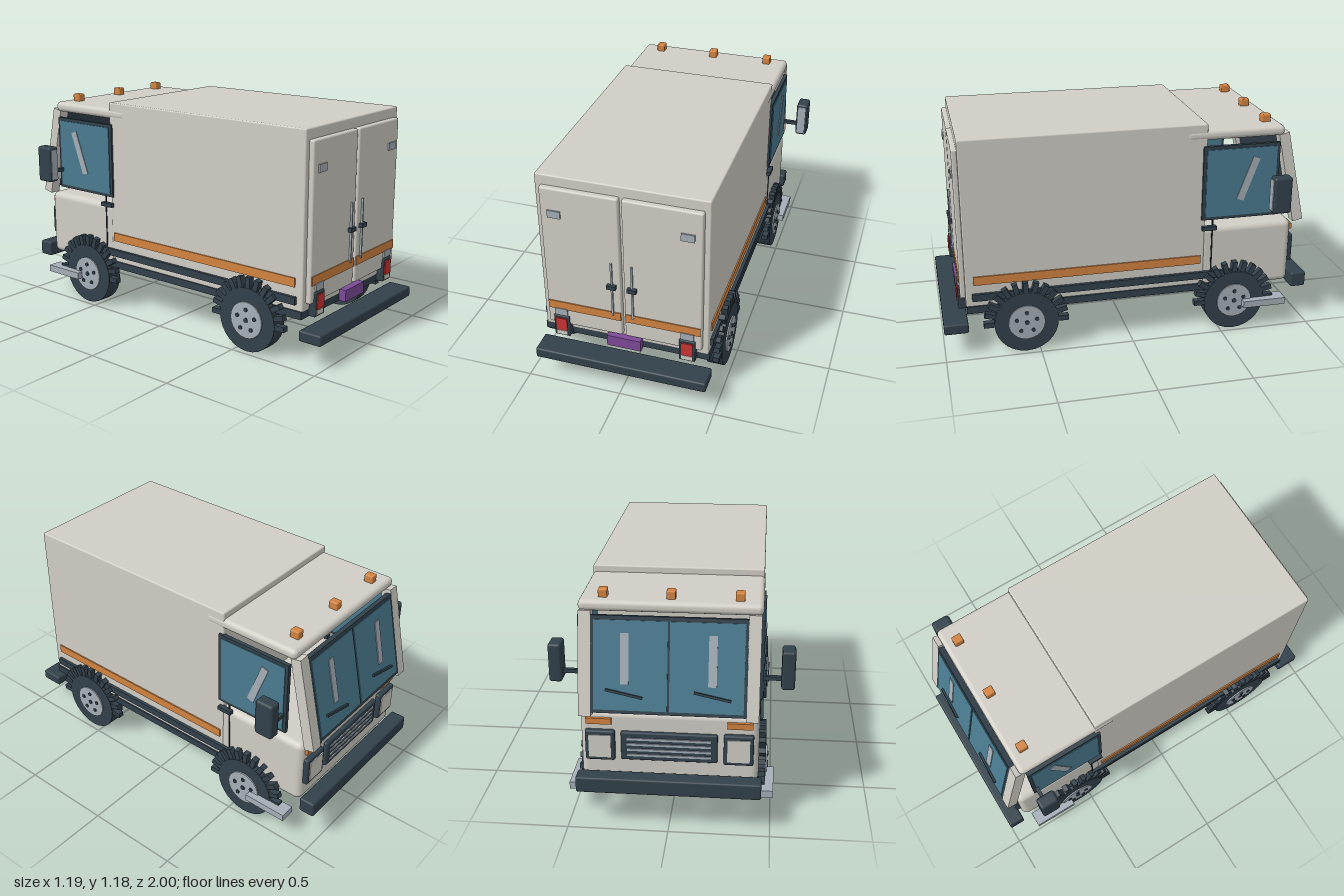
import * as THREE from 'three';
import { RoundedBoxGeometry } from 'three/addons/geometries/RoundedBoxGeometry.js';

const mat = (name, color) => {
  const m = new THREE.MeshStandardMaterial({ color });
  m.name = name;
  return m;
};

export function createModel() {
  const body = mat('body cream', 0xd0cdc5);
  const dark = mat('dark slate', 0x32414b);
  const glass = mat('window blue', 0x4a7b90);
  const metal = mat('light metal', 0xa5afb7);
  const orange = mat('orange', 0xd28340);
  const red = mat('red', 0xcc3434);
  const purple = mat('purple', 0x7d4a98);
  const black = mat('black', 0x1a1f23);

  const model = new THREE.Group();
  model.name = 'deliveryVan';

  // Box given by its extents; r rounds the edges
  function box(parent, name, m, [x0, x1], [y0, y1], [z0, z1], r = 0) {
    const w = Math.abs(x1 - x0), h = y1 - y0, d = z1 - z0;
    const geo = r ? new RoundedBoxGeometry(w, h, d, 3, r) : new THREE.BoxGeometry(w, h, d);
    const mesh = new THREE.Mesh(geo, m);
    mesh.name = name;
    mesh.position.set((x0 + x1) / 2, (y0 + y1) / 2, (z0 + z1) / 2);
    parent.add(mesh);
    return mesh;
  }
  const add = (...a) => box(model, ...a);

  // Main body
  add('cargoBox', body, [-0.435, 0.435], [0.272, 1.175], [-0.405, 0.878], 0.008);
  add('chassis', dark, [-0.44, 0.44], [0.235, 0.275], [-0.6, 0.875]);
  add('cabLower', body, [-0.435, 0.435], [0.236, 0.602], [-0.9, -0.38], 0.035);
  add('cabRoof', body, [-0.438, 0.438], [1.085, 1.14], [-0.83, -0.29], 0.024);
  add('frontBumper', dark, [-0.452, 0.452], [0.202, 0.285], [-1, -0.915], 0.01);
  add('rearBumper', dark, [-0.455, 0.455], [0.13, 0.187], [0.872, 1], 0.01);
  for (const x of [-0.325, 0, 0.325])
    add('roofLight', orange, [x - 0.022, x + 0.022], [1.135, 1.18], [-0.78, -0.73], 0.007);

  // Grille with louvres
  add('grille', dark, [-0.235, 0.235], [0.35, 0.5], [-0.92, -0.885], 0.008);
  for (let i = 0; i < 4; i++)
    add('grilleLouvre', metal, [-0.205, 0.205], [0.374 + i * 0.029, 0.386 + i * 0.029], [-0.925, -0.915]);

  // Sloping windscreen; its outer face is local -z
  const screen = new THREE.Group();
  screen.name = 'windscreen';
  screen.position.set(0, 0.845, -0.88);
  screen.rotation.x = 0.215;
  model.add(screen);
  box(screen, 'windscreenFrame', dark, [-0.372, 0.372], [-0.235, 0.235], [-0.03, 0]);

  for (const s of [1, -1]) {
    const X = (a, b) => (s > 0 ? [a, b] : [-b, -a]);

    // Windscreen pillar, pane, glint and wiper
    box(screen, 'pillar', body, X(0.37, 0.43), [-0.255, 0.255], [-0.03, 0.027]);
    box(screen, 'windscreenPane', glass, X(0.005, 0.357), [-0.218, 0.215], [-0.034, -0.028]);
    box(screen, 'glassGlint', metal, X(0.188, 0.228), [-0.09, 0.155], [-0.038, -0.033]);
    const wiper = box(screen, 'wiper', dark, X(0.12, 0.3), [-0.142, -0.13], [-0.046, -0.034]);
    wiper.position.x = s * 0.21;
    wiper.rotation.z = 0.2;

    // Headlight and indicator
    add('headlightSurround', dark, X(0.265, 0.41), [0.345, 0.505], [-0.925, -0.885], 0.01);
    add('headlightLens', body, X(0.283, 0.392), [0.365, 0.485], [-0.93, -0.92]);
    add('frontIndicator', orange, X(0.28, 0.405), [0.537, 0.568], [-0.915, -0.89]);

    // Side window
    add('sideWindowFrame', dark, X(0.425, 0.446), [0.648, 1.055], [-0.802, -0.382]);
    add('sideWindowGlass', glass, X(0.421, 0.45), [0.665, 1.037], [-0.785, -0.4]);
    const glint = add('sideGlint', metal, X(0.448, 0.454), [0.745, 0.99], [-0.65, -0.61]);
    glint.position.z = -0.63;
    glint.rotation.x = -0.35;

    // Door seam and handle
    add('doorSeam', black, X(0.432, 0.438), [0.3, 0.65], [-0.45, -0.442]);
    add('doorHandle', dark, X(0.43, 0.457), [0.59, 0.612], [-0.465, -0.385]);

    // Mirror
    add('mirrorArm', dark, X(0.435, 0.545), [0.745, 0.765], [-0.79, -0.77]);
    add('mirrorHead', dark, X(0.53, 0.595), [0.708, 0.907], [-0.822, -0.722], 0.014);
    add('mirrorGlass', metal, X(0.541, 0.584), [0.723, 0.892], [-0.726, -0.718]);

    // Side stripe, rail and step
    add('sideStripe', orange, X(0.434, 0.442), [0.395, 0.442], [-0.385, 0.835]);
    add('sideRail', dark, X(0.425, 0.452), [0.308, 0.347], [-0.6, 0.845]);
    add('step', metal, X(0.43, 0.512), [0.134, 0.172], [-0.86, -0.62]);

    // Rear door
    add('rearDoor', body, X(0.008, 0.406), [0.31, 1.12], [0.86, 0.905], 0.01);
    add('rearStripe', orange, X(0.012, 0.4), [0.405, 0.452], [0.902, 0.91]);
    add('upperPlate', metal, X(0.3, 0.367), [0.96, 1], [0.9, 0.913]);
    add('lowerPlate', metal, X(0.3, 0.367), [0.37, 0.41], [0.9, 0.914]);
    add('lockRod', metal, X(0.048, 0.057), [0.435, 0.752], [0.905, 0.915]);
    add('rearHandle', dark, X(0.03, 0.076), [0.602, 0.624], [0.905, 0.926]);

    // Tail light
    add('tailLightHousing', dark, X(0.292, 0.376), [0.238, 0.366], [0.865, 0.915], 0.006);
    add('tailLightRed', red, X(0.304, 0.364), [0.276, 0.352], [0.912, 0.921]);
    add('reverseLight', body, X(0.306, 0.362), [0.247, 0.272], [0.912, 0.919]);

    for (const z of [0.57, -0.575]) model.add(makeWheel(s, z));
  }
  add('numberPlate', purple, [-0.09, 0.09], [0.235, 0.297], [0.865, 0.914]);

  // Wheel with hub, nuts and a toothed arch over its upper half
  function makeWheel(s, z) {
    const g = new THREE.Group();
    g.name = 'wheel';
    g.position.set(0, 0.17, z);
    const disc = (name, m, r, x0, x1, y, zz, n) => {
      const mesh = new THREE.Mesh(new THREE.CylinderGeometry(r, r, x1 - x0, n), m);
      mesh.name = name;
      mesh.rotation.z = Math.PI / 2;
      mesh.position.set(s * (x0 + x1) / 2, y, zz);
      g.add(mesh);
    };
    disc('tyre', dark, 0.17, 0.385, 0.471, 0, 0, 28);
    disc('hub', metal, 0.097, 0.44, 0.478, 0, 0, 24);
    disc('hubCap', dark, 0.013, 0.47, 0.483, 0, 0, 10);
    for (let i = 0; i < 5; i++) {
      const a = Math.PI / 2 + i * Math.PI * 0.4;
      disc('wheelNut', dark, 0.011, 0.47, 0.484, Math.sin(a) * 0.056, Math.cos(a) * 0.056, 8);
    }
    for (let i = 0; i <= 12; i++) {
      const a = (i / 12) * Math.PI;
      const tooth = new THREE.Mesh(new THREE.BoxGeometry(0.034, 0.07, 0.028), dark);
      tooth.name = 'archTooth';
      tooth.position.set(s * 0.452, Math.sin(a) * 0.19, Math.cos(a) * 0.19);
      tooth.rotation.x = Math.PI / 2 - a;
      g.add(tooth);
    }
    return g;
  }

  return model;
}
